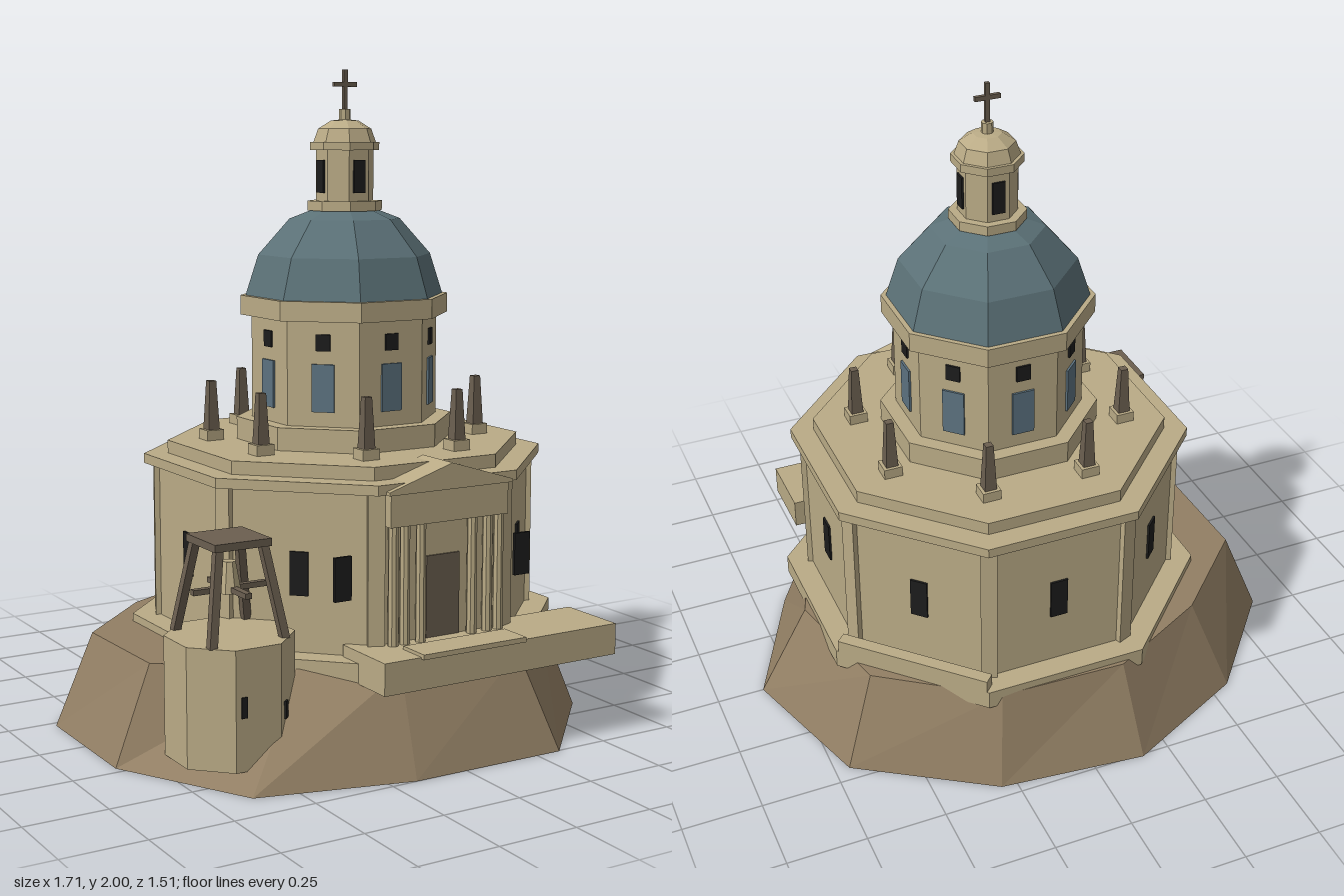
import * as THREE from 'three';

const mat = (name, color) => {
  const m = new THREE.MeshStandardMaterial({ color });
  m.name = name;
  m.flatShading = true;
  return m;
};

export function createModel() {
  const stone = mat('stone', 0xbaab86);
  const rock = mat('rock', 0x927f64);
  const slate = mat('slate', 0x5b7177);
  const glass = mat('glass', 0x5c7280);
  const dark = mat('darkOpening', 0x1c1c1c);
  const wood = mat('wood', 0x6b5f50);

  const model = new THREE.Group();
  const church = new THREE.Group();
  church.name = 'church';
  church.position.x = 0.046;
  model.add(church);

  const put = (parent, name, geo, m, x = 0, y = 0, z = 0) => {
    const mesh = new THREE.Mesh(geo, m);
    mesh.name = name;
    mesh.position.set(x, y, z);
    parent.add(mesh);
    return mesh;
  };
  const box = (parent, name, m, x0, x1, y0, y1, z0, z1) =>
    put(parent, name, new THREE.BoxGeometry(x1 - x0, y1 - y0, z1 - z0), m,
      (x0 + x1) / 2, (y0 + y1) / 2, (z0 + z1) / 2);
  // Octagonal prism, sized by the distance from its axis to its faces
  const R = 1 / Math.cos(Math.PI / 8);
  const octagon = (parent, name, m, apothem, y0, y1, x = 0, z = 0) => {
    const g = new THREE.CylinderGeometry(apothem * R, apothem * R, y1 - y0, 8);
    return put(parent, name, g.rotateY(Math.PI / 8), m, x, (y0 + y1) / 2, z);
  };
  const dome = (name, m, profile) => put(church, name, new THREE.LatheGeometry(
    profile.map(([r, y]) => new THREE.Vector2(r * R, y)), 8, Math.PI / 8), m);
  // Thin panel on the face that looks along angle a
  const panel = (name, m, a, dist, w, y0, y1, t = 0.009) => {
    const p = put(church, name, new THREE.BoxGeometry(w, y1 - y0, t), m,
      Math.sin(a) * dist, (y0 + y1) / 2, Math.cos(a) * dist);
    p.rotation.y = a;
    return p;
  };
  const beam = (parent, name, m, a, b, w) => {
    const d = b.clone().sub(a);
    const p = put(parent, name, new THREE.BoxGeometry(w, d.length(), w), m);
    p.position.copy(a).add(b).multiplyScalar(0.5);
    p.quaternion.setFromUnitVectors(new THREE.Vector3(0, 1, 0), d.normalize());
    return p;
  };

  // Rocky hill: foot x, z then shoulder x, z
  const ring = [
    [0.85, 0, 0.69, 0], [0.65, 0.415, 0.56, 0.35], [0.33, 0.755, 0.26, 0.64],
    [-0.17, 0.75, -0.14, 0.62], [-0.63, 0.63, -0.38, 0.45], [-0.855, 0.22, -0.73, 0.19],
    [-0.855, -0.225, -0.74, -0.2], [-0.565, -0.565, -0.47, -0.465], [-0.16, -0.76, -0.14, -0.635],
    [0.3, -0.71, 0.26, -0.62], [0.705, -0.45, 0.6, -0.38],
  ];
  const verts = [];
  ring.forEach((p, i) => {
    const q = ring[(i + 1) % ring.length];
    const b0 = [p[0], 0, p[1]], b1 = [q[0], 0, q[1]];
    const t0 = [p[2], 0.285, p[3]], t1 = [q[2], 0.285, q[3]];
    verts.push(...b0, ...t0, ...b1, ...b1, ...t0, ...t1);
    verts.push(0, 0.29, 0, ...t1, ...t0, 0, 0, 0, ...b0, ...b1);
  });
  const hill = new THREE.BufferGeometry();
  hill.setAttribute('position', new THREE.Float32BufferAttribute(verts, 3));
  hill.computeVertexNormals();
  put(model, 'hill', hill, rock);

  // Main octagonal hall, bottom to top
  octagon(church, 'base', stone, 0.622, 0.25, 0.31);
  octagon(church, 'hall', stone, 0.55, 0.31, 0.79);
  octagon(church, 'hallCornice', stone, 0.583, 0.79, 0.82);
  octagon(church, 'roofStep', stone, 0.515, 0.82, 0.86);
  panel('baseParapet', stone, Math.PI * 0.75, 0.602, 0.5, 0.25, 0.35, 0.04);

  // Dome drum and lantern
  octagon(church, 'drumPodium', stone, 0.315, 0.86, 0.93);
  octagon(church, 'drum', stone, 0.27, 0.93, 1.25);
  octagon(church, 'drumCornice', stone, 0.302, 1.25, 1.31);
  dome('dome', slate, [[0.287, 1.31], [0.25, 1.435], [0.16, 1.545], [0.08, 1.578]]);
  octagon(church, 'lanternBase', stone, 0.108, 1.57, 1.6);
  octagon(church, 'lantern', stone, 0.083, 1.6, 1.755);
  octagon(church, 'lanternCornice', stone, 0.1, 1.755, 1.78);
  dome('lanternDome', stone, [[0.09, 1.78], [0.077, 1.82], [0.04, 1.845], [0, 1.85]]);
  octagon(church, 'finial', stone, 0.017, 1.84, 1.88);
  box(church, 'crossUpright', wood, -0.007, 0.007, 1.87, 2, -0.006, 0.006);
  box(church, 'crossArm', wood, -0.04, 0.04, 1.948, 1.962, -0.006, 0.006);

  // Windows, corner pilasters and obelisks around the axis
  for (let i = 0; i < 8; i++) {
    const a = i * Math.PI / 4, c = a + Math.PI / 8;
    panel('drumWindow', glass, a, 0.272, 0.07, 0.975, 1.12);
    panel('drumUpperWindow', dark, a, 0.272, 0.045, 1.16, 1.21);
    if (i > 0) panel('hallWindow', dark, a, 0.552, 0.055, 0.48, 0.61);
    if (i % 2 === 0) panel('lanternWindow', dark, a, 0.085, 0.04, 1.625, 1.725);
    panel('cornerPilaster', stone, c, 0.587, 0.05, 0.31, 0.79, 0.03);
    const ox = 0.42 * Math.sin(c), oz = 0.42 * Math.cos(c);
    box(church, 'obeliskPlinth', stone, ox - 0.029, ox + 0.029, 0.86, 0.892, oz - 0.029, oz + 0.029);
    const shaft = new THREE.CylinderGeometry(0.0165, 0.027, 0.153, 4).rotateY(Math.PI / 4);
    put(church, 'obelisk', shaft, wood, ox, 0.968, oz);
  }

  // Entrance terrace and portico
  box(church, 'terrace', stone, -0.303, 0.522, 0.25, 0.345, 0.49, 0.715);
  box(church, 'terraceStep', stone, -0.18, 0.178, 0.34, 0.355, 0.62, 0.727);
  box(church, 'entablature', stone, -0.205, 0.205, 0.695, 0.795, 0.545, 0.592);
  const gable = new THREE.Shape([[-0.215, 0.79], [0.215, 0.79], [0.215, 0.8], [0, 0.867], [-0.215, 0.8]]
    .map(([x, y]) => new THREE.Vector2(x, y)));
  put(church, 'pediment', new THREE.ExtrudeGeometry(gable, { depth: 0.155, bevelEnabled: false }), stone, 0, 0, 0.445);
  box(church, 'door', wood, -0.058, 0.058, 0.345, 0.59, 0.548, 0.556);
  for (const s of [-1, 1]) {
    for (const x of [0.09, 0.145, 0.185]) {
      put(church, 'column', new THREE.CylinderGeometry(0.015, 0.016, 0.355, 8), stone, s * x, 0.5225, 0.573);
    }
    box(church, 'frontShutter', dark, s * 0.317 - 0.028, s * 0.317 + 0.028, 0.48, 0.61, 0.506, 0.516);
  }

  // Bell tower
  const tower = new THREE.Group();
  tower.name = 'bellTower';
  tower.position.set(-0.57, 0, 0.385);
  model.add(tower);
  octagon(tower, 'towerBody', stone, 0.173, 0.05, 0.4);
  box(tower, 'towerWindow', dark, -0.055, -0.037, 0.205, 0.265, 0.17, 0.177);
  const side = box(tower, 'towerWindow', dark, -0.01, 0.01, 0.175, 0.225, -0.004, 0.004);
  side.position.set(0.1, 0.2, 0.148);
  side.rotation.y = Math.PI / 4;
  for (const sx of [-1, 1]) {
    for (const sz of [-1, 1]) {
      beam(tower, 'frameLeg', wood, new THREE.Vector3(sx * 0.115, 0.395, sz * 0.115),
        new THREE.Vector3(sx * 0.07, 0.67, sz * 0.07), 0.024);
    }
  }
  box(tower, 'frameTop', wood, -0.09, 0.09, 0.66, 0.682, -0.09, 0.09);
  box(tower, 'crossBeam', wood, -0.117, 0.117, 0.524, 0.54, -0.01, 0.01);
  box(tower, 'crossBeam', wood, -0.01, 0.01, 0.524, 0.54, -0.117, 0.117);
  put(tower, 'bell', new THREE.CylinderGeometry(0.02, 0.037, 0.09, 8), stone, 0, 0.565, 0);

  return model;
}
